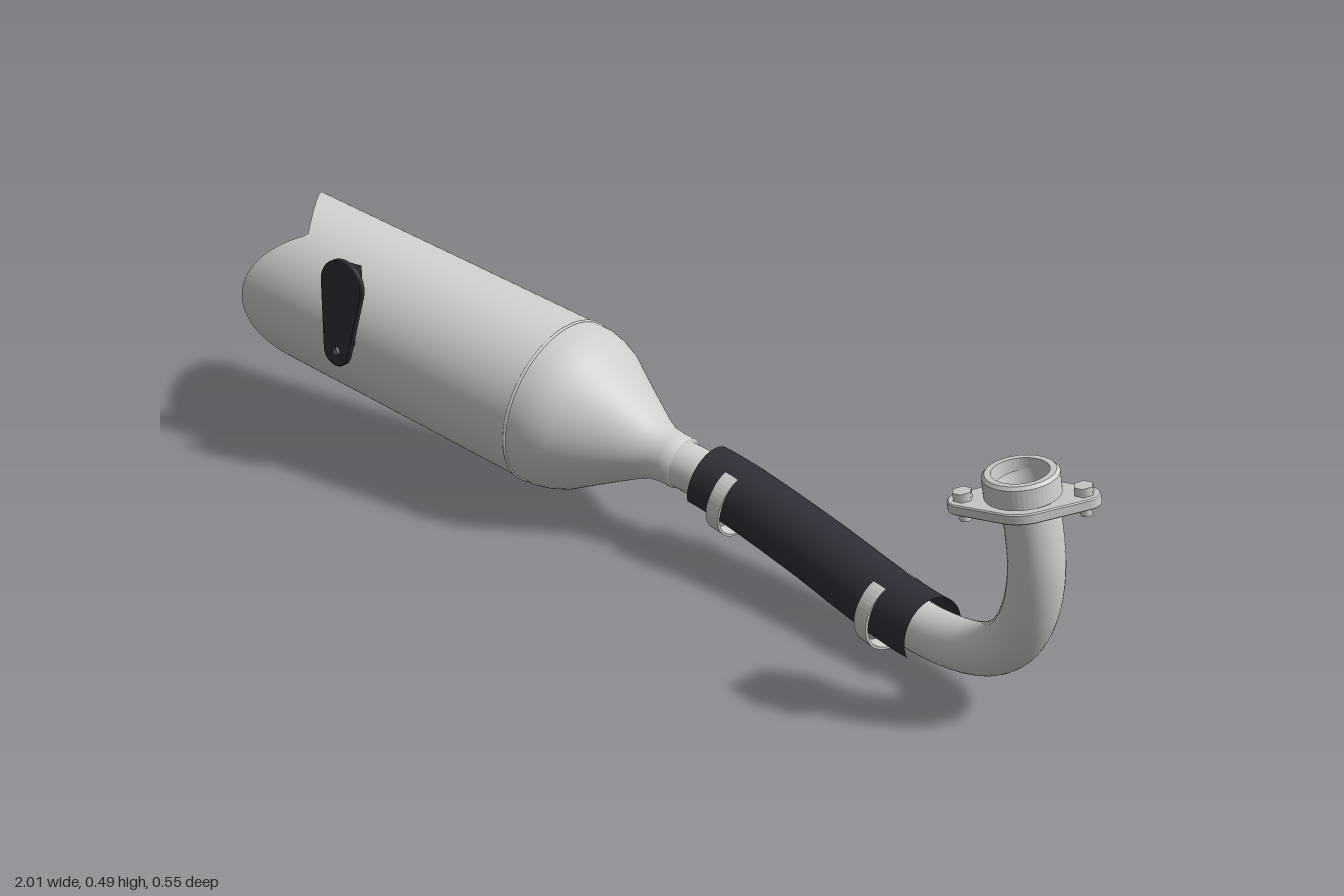
import * as THREE from 'three';

const V = (x, y, z) => new THREE.Vector3(x, y, z);
const steel = new THREE.MeshStandardMaterial({ color: 0xcdcdcb, side: THREE.DoubleSide });
steel.name = 'brushed steel';
const dark = new THREE.MeshStandardMaterial({ color: 0x2f2d35, side: THREE.DoubleSide });
dark.name = 'dark coating';

function add(parent, name, geometry, material) {
  const mesh = new THREE.Mesh(geometry, material);
  mesh.name = name;
  parent.add(mesh);
  return mesh;
}

// Smooth surface from a function of (u, v) in 0..1
function surface(fn, nu, nv) {
  const g = new THREE.PlaneGeometry(1, 1, nu, nv);
  const p = g.attributes.position;
  for (let j = 0, k = 0; j <= nv; j++) {
    for (let i = 0; i <= nu; i++, k++) {
      const q = fn(i / nu, j / nv);
      p.setXYZ(k, q.x, q.y, q.z);
    }
  }
  g.computeVertexNormals();
  return g;
}

// Lathe with crisp edges: each profile segment is its own surface
function ring(inner, outer, y0, y1, bevel = 0) {
  const pts = [[inner, y0], [outer, y0], [outer, y1 - bevel], [outer - bevel, y1], [inner, y1], [inner, y0]];
  const g = new THREE.LatheGeometry(pts.map(([r, y]) => new THREE.Vector2(r, y)), 48).toNonIndexed();
  g.computeVertexNormals();
  return g;
}

const holeAt = (shape, x, y, r) => shape.holes.push(new THREE.Path().absarc(x, y, r, 0, Math.PI * 2, true));

function plate(shape, depth, bevel = 0.002) {
  return new THREE.ExtrudeGeometry(shape, {
    depth, curveSegments: 20, bevelSize: bevel, bevelThickness: bevel, bevelSegments: 1,
  });
}

function orient(object, pos, dir) {
  object.position.copy(pos);
  object.quaternion.setFromUnitVectors(V(0, 1, 0), dir.clone().normalize());
  return object;
}

// Muffler body, modelled along its own x axis with the tail towards -x
function makeMuffler() {
  const g = new THREE.Group();
  g.name = 'muffler';
  const X = V(1, -0.163, 0.037).normalize();
  const Z = X.clone().cross(V(0, 1, 0)).normalize();
  const Y = Z.clone().cross(X);
  g.quaternion.setFromRotationMatrix(new THREE.Matrix4().makeBasis(X, Y, Z));
  g.position.set(-0.225, 0.226, -0.081);

  const R = 0.165, notch = 0.085;
  // V-shaped tail cut
  const cut = z => z < notch
    ? THREE.MathUtils.mapLinear(z, -R, notch, -0.797, -0.606)
    : THREE.MathUtils.mapLinear(z, notch, R, -0.606, -0.7);
  const shell = r => surface((u, v) => {
    const a = u * Math.PI * 2, z = r * Math.sin(a);
    return V(cut(z) * v, r * Math.cos(a), z);
  }, 120, 8);
  add(g, 'mufflerShell', shell(R), steel);
  add(g, 'mufflerLining', shell(R - 0.004), dark);

  // Folded end cap, one flat panel each side of the notch
  for (const [z0, z1] of [[-R, notch], [notch, R]]) {
    add(g, 'endCap', surface((u, v) => {
      const z = THREE.MathUtils.lerp(z0, z1, u);
      const h = Math.sqrt(Math.max(0, (R - 0.002) ** 2 - z * z));
      return V(cut(z) + 0.006, h * (1 - 2 * v), z);
    }, 40, 1), dark);
  }

  // Outlet stub, square to the long cap panel
  const outlet = add(g, 'outletPipe', ring(0.034, 0.047, -0.03, 0.032, 0.004), steel);
  orient(outlet, V(cut(0), 0.01, 0), V(-0.25, 0, 0.19));

  // Front cone and neck
  const profile = [[0.165, 0], [0.164, 0.03], [0.158, 0.055], [0.146, 0.085], [0.118, 0.13],
    [0.088, 0.18], [0.063, 0.222], [0.053, 0.245], [0.05, 0.27], [0.05, 0.295], [0.04, 0.295]];
  const cone = add(g, 'frontCone',
    new THREE.LatheGeometry(profile.map(([r, s]) => new THREE.Vector2(r, s)), 64), steel);
  cone.rotation.z = -Math.PI / 2;
  add(g, 'shellSeam', new THREE.TorusGeometry(R, 0.003, 8, 72), steel).rotation.y = Math.PI / 2;
  return g;
}

// Two circles joined by tangents: big one at the origin, small one at distance L
function teardrop(R, r, L) {
  const a = Math.acos((R - r) / L);
  return new THREE.Shape().absarc(L, 0, r, -a, a).absarc(0, 0, R, a, Math.PI * 2 - a);
}

function makeBracket() {
  const g = new THREE.Group();
  g.name = 'hangerBracket';
  const shape = teardrop(0.05, 0.03, 0.14);
  holeAt(shape, 0.14, 0, 0.011);
  const face = add(g, 'bracketPlate', plate(shape, 0.009), dark);
  face.position.set(-0.625, 0.424, 0.076);
  face.rotation.z = Math.atan2(-0.138, -0.022);
  add(g, 'bracketStem', new THREE.BoxGeometry(0.032, 0.155, 0.036), dark).position.set(-0.627, 0.378, 0.058);
  return g;
}

function makeFlange() {
  const g = new THREE.Group();
  g.name = 'headFlange';
  const Y = V(-0.14, 1, 0.1).normalize();
  const X = V(0.085, 0, -0.034).projectOnPlane(Y).normalize();
  g.quaternion.setFromRotationMatrix(new THREE.Matrix4().makeBasis(X, Y, X.clone().cross(Y)));
  g.position.set(0.888, 0.44, 0.213);

  // Oval plate with two ears
  const R = 0.062, r = 0.023, d = 0.092, a = Math.acos((R - r) / d), P = Math.PI;
  const shape = new THREE.Shape().absarc(d, 0, r, -a, a).absarc(0, 0, R, a, P - a)
    .absarc(-d, 0, r, P - a, P + a).absarc(0, 0, R, P + a, 2 * P - a);
  holeAt(shape, 0, 0, 0.044);
  const ears = add(g, 'flangePlate', plate(shape, 0.014), steel);
  ears.rotation.x = -P / 2;
  ears.position.y = -0.009;
  add(g, 'gasketRing', ring(0.045, 0.06, 0.012, 0.05, 0.005), steel);

  for (const s of [-1, 1]) {
    add(g, 'flangeStud', new THREE.CylinderGeometry(0.009, 0.009, 0.05, 16), steel).position.set(s * d, -0.004, 0);
    add(g, 'flangeNut', new THREE.CylinderGeometry(0.016, 0.016, 0.014, 6), steel).position.set(s * d, 0.014, 0);
  }
  return g;
}

export function createModel() {
  const model = new THREE.Group();
  model.name = 'exhaust';
  model.add(makeMuffler(), makeBracket(), makeFlange());

  // Header pipe
  const path = new THREE.CatmullRomCurve3([
    V(0, 0.188, -0.072), V(0.1, 0.171, -0.068), V(0.19, 0.154, -0.06), V(0.38, 0.115, -0.022),
    V(0.57, 0.083, 0.035), V(0.68, 0.077, 0.07), V(0.78, 0.1, 0.107), V(0.85, 0.152, 0.145),
    V(0.895, 0.23, 0.178), V(0.912, 0.32, 0.199), V(0.904, 0.41, 0.21), V(0.888, 0.475, 0.215)]);
  add(model, 'headerPipe', new THREE.TubeGeometry(path, 120, 0.045, 32), steel);

  // Curve parameter at a given x along the lower run
  const atX = x => {
    let t = 0;
    while (path.getPointAt(t).x < x) t += 0.002;
    return t;
  };

  // Heat shield: an arc over the pipe, open underneath
  const t0 = atX(0.125), t1 = atX(0.67), half = THREE.MathUtils.degToRad(116);
  add(model, 'heatShield', surface((u, v) => {
    const t = THREE.MathUtils.lerp(t0, t1, u), a = (v * 2 - 1) * half;
    const tangent = path.getTangentAt(t);
    const side = tangent.clone().cross(V(0, 1, 0)).normalize();
    const up = side.clone().cross(tangent);
    return path.getPointAt(t).addScaledVector(side, 0.064 * Math.sin(a)).addScaledVector(up, 0.064 * Math.cos(a));
  }, 40, 32), dark);

  // Clamp bands
  for (const x of [0.195, 0.57]) {
    const t = atX(x), band = add(model, 'clampBand', ring(0.065, 0.07, -0.015, 0.015), steel);
    orient(band, path.getPointAt(t).add(V(0, -0.007, 0)), path.getTangentAt(t));
  }
  return model;
}
